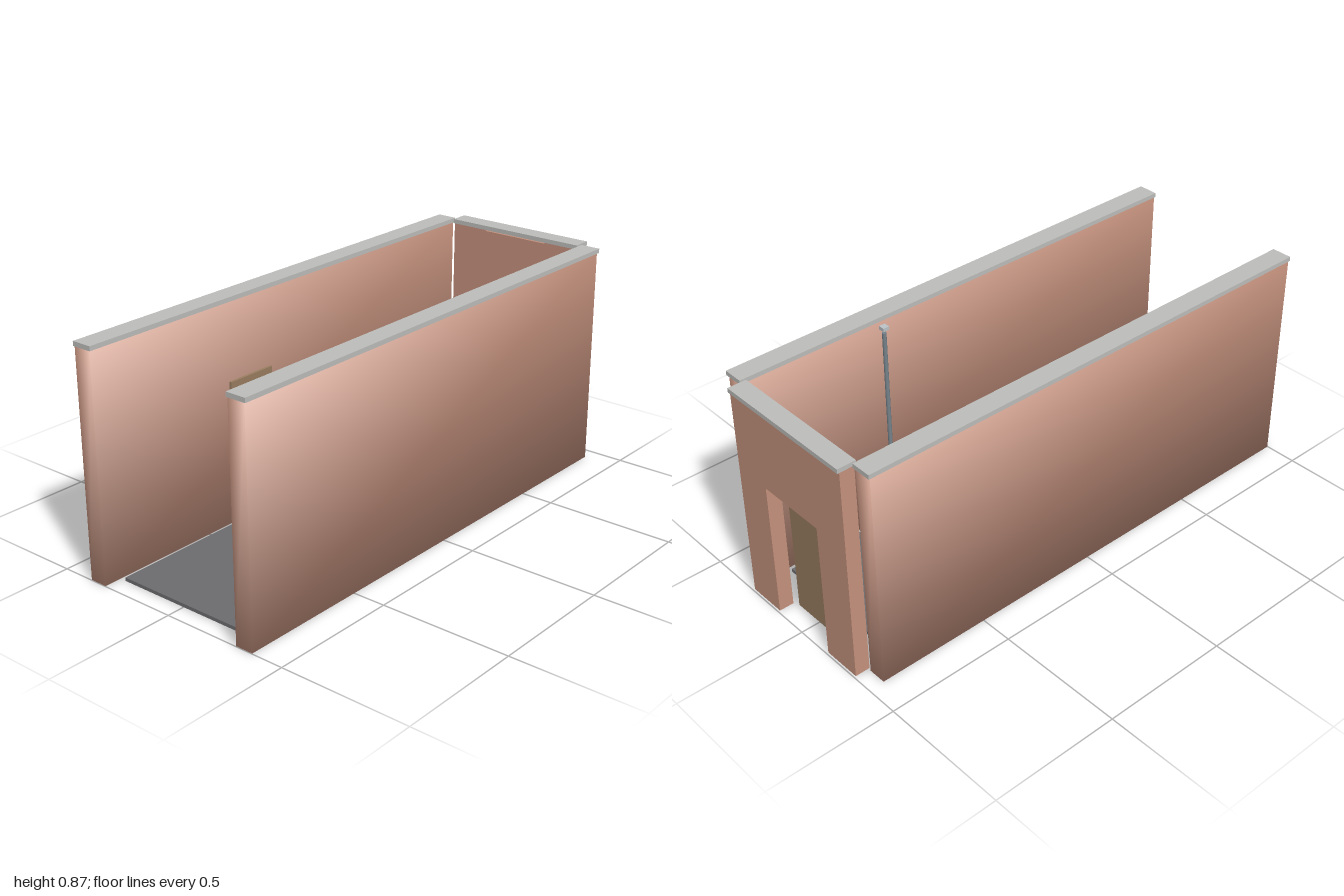
import * as THREE from 'three';

const mat = (color) => new THREE.MeshStandardMaterial({ color });

export function createModel() {
  const model = new THREE.Group();
  model.name = 'alley';

  const brick = mat(0xc4917d);
  const stone = mat(0xbcbcba);
  const paving = mat(0x6c6c6f);
  const wood = mat(0x997d60);
  const glass = mat(0x94acb2);
  const metal = mat(0x75828a);
  const paleMetal = mat(0xbcc2c6);

  // Box given by its extents on each axis
  function block(name, material, [x0, x1], [y0, y1], [z0, z1]) {
    const mesh = new THREE.Mesh(new THREE.BoxGeometry(x1 - x0, y1 - y0, z1 - z0), material);
    mesh.position.set((x0 + x1) / 2, (y0 + y1) / 2, (z0 + z1) / 2);
    mesh.name = name;
    model.add(mesh);
    return mesh;
  }

  // Corner normals point diagonally outward for soft shading
  function soften(mesh) {
    const { position, normal } = mesh.geometry.attributes;
    const v = new THREE.Vector3();
    for (let i = 0; i < position.count; i++) {
      v.fromBufferAttribute(position, i);
      v.set(Math.sign(v.x), Math.sign(v.y), Math.sign(v.z)).normalize();
      normal.setXYZ(i, v.x, v.y, v.z);
    }
  }

  // Ground slab
  block('floor', paving, [-0.28, 0.28], [0, 0.013], [-0.84, 0.93]);

  // Long side walls with copings, and the back wall piers
  for (const s of [-1, 1]) {
    const side = s > 0 ? 'left' : 'right';
    const span = (a, b) => (s > 0 ? [a, b] : [-b, -a]);
    soften(block(side + 'Wall', brick, span(0.305, 0.374), [0, 0.848], [-0.94, 0.998]));
    block(side + 'Coping', stone, span(0.3, 0.379), [0.848, 0.865], [-0.947, 1]);
    block(side + 'BackPier', brick, span(0.14, 0.292), [0, 0.848], [-0.992, -0.935]);
  }

  // Back wall above the doorway
  block('lintel', brick, [-0.14, 0.14], [0.539, 0.842], [-0.992, -0.935]);
  block('backCoping', stone, [-0.293, 0.291], [0.848, 0.865], [-1, -0.928]);

  // Door and step
  block('door', wood, [-0.103, 0.102], [0.018, 0.505], [-0.935, -0.917]);
  block('doorStep', stone, [-0.14, 0.138], [0.012, 0.027], [-0.905, -0.857]);

  // Window on the right wall
  block('windowFrame', wood, [-0.298, -0.288], [0.376, 0.556], [0.17, 0.38]);
  block('windowGlass', glass, [-0.282, -0.278], [0.401, 0.531], [0.2, 0.35]);

  // Drainpipe and its head on the left wall
  const pipe = new THREE.Mesh(new THREE.CylinderGeometry(0.008, 0.008, 0.767, 12), metal);
  pipe.position.set(0.28, 0.429, -0.37);
  pipe.name = 'drainpipe';
  model.add(pipe);
  block('pipeHead', paleMetal, [0.267, 0.292], [0.825, 0.839], [-0.382, -0.357]);

  return model;
}
